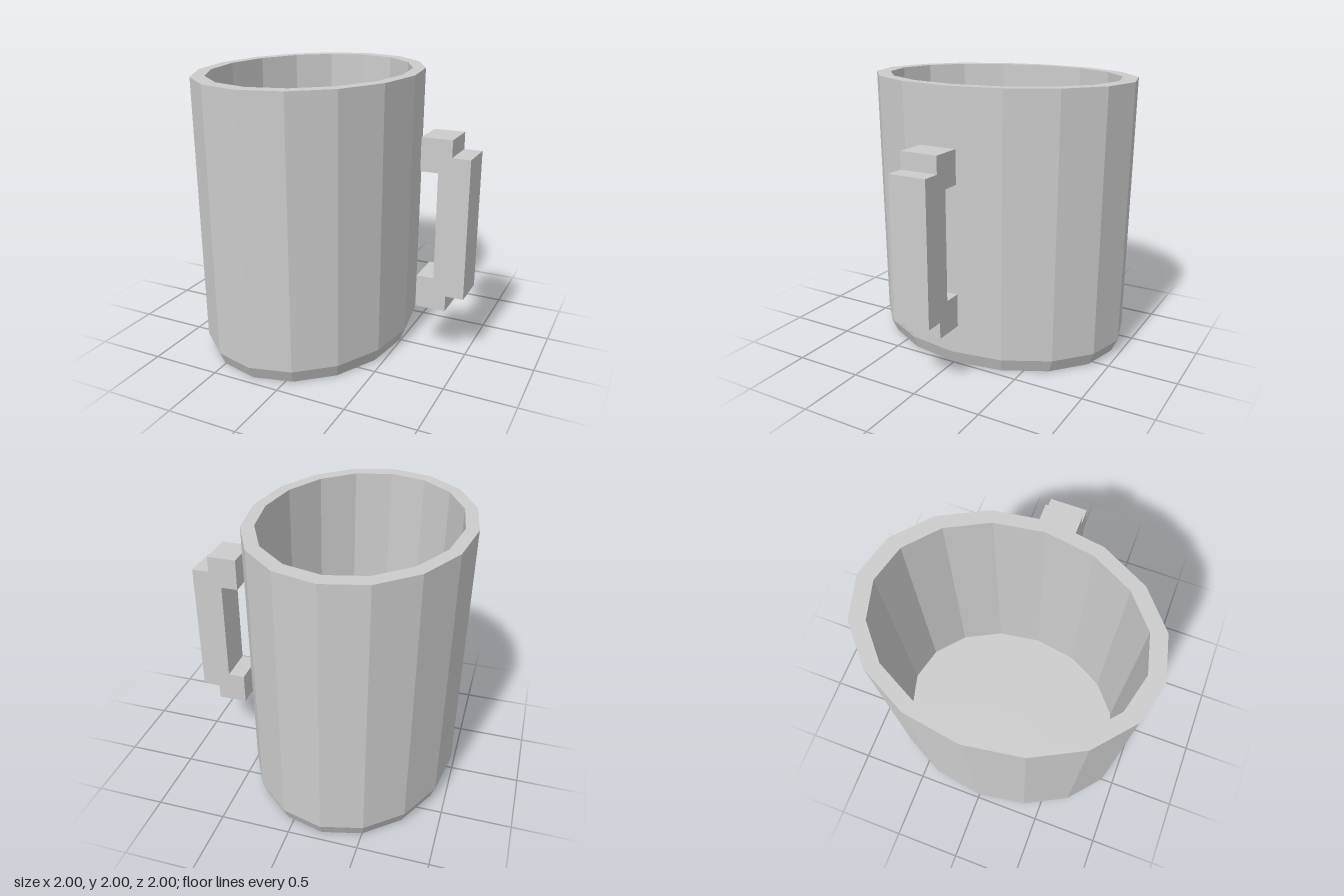
import * as THREE from 'three';

const clay = new THREE.MeshStandardMaterial({ color: 0xcccccc, flatShading: true });
clay.name = 'light grey clay';

// Faceted solid: every face gets its own normal
function addPart(group, name, geometry) {
  const flat = geometry.index ? geometry.toNonIndexed() : geometry;
  flat.computeVertexNormals();
  const mesh = new THREE.Mesh(flat, clay);
  mesh.name = name;
  group.add(mesh);
  return mesh;
}

export function createModel() {
  const mug = new THREE.Group();
  mug.name = 'mug';

  // Hollow oval cup: underside, bevel, outer wall, rim, inner wall, floor
  const profile = [
    [0, 0], [0.932, 0], [0.98, 0.1], [1, 2], [0.886, 2], [0.867, 0.1], [0, 0.1],
  ].map(([r, y]) => new THREE.Vector2(r, y));
  const cup = new THREE.LatheGeometry(profile, 16);
  cup.scale(0.773, 1, 1);
  cup.translate(-0.227, 0, 0);
  addPart(mug, 'cup', cup);

  // Square-cut handle: a grip with two stubs reaching towards the cup
  const outline = new THREE.Shape([
    [0.655, 0.385], [0.872, 0.385], [0.872, 0.5], [1, 0.5],
    [1, 1.5], [0.872, 1.5], [0.872, 1.62], [0.655, 1.62],
    [0.655, 1.385], [0.78, 1.385], [0.78, 0.62], [0.655, 0.62],
  ].map(([x, y]) => new THREE.Vector2(x, y)));
  const depth = 0.274;
  const handle = new THREE.ExtrudeGeometry(outline, { depth, bevelEnabled: false });
  handle.translate(0, 0, -depth / 2);
  addPart(mug, 'handle', handle);

  return mug;
}
